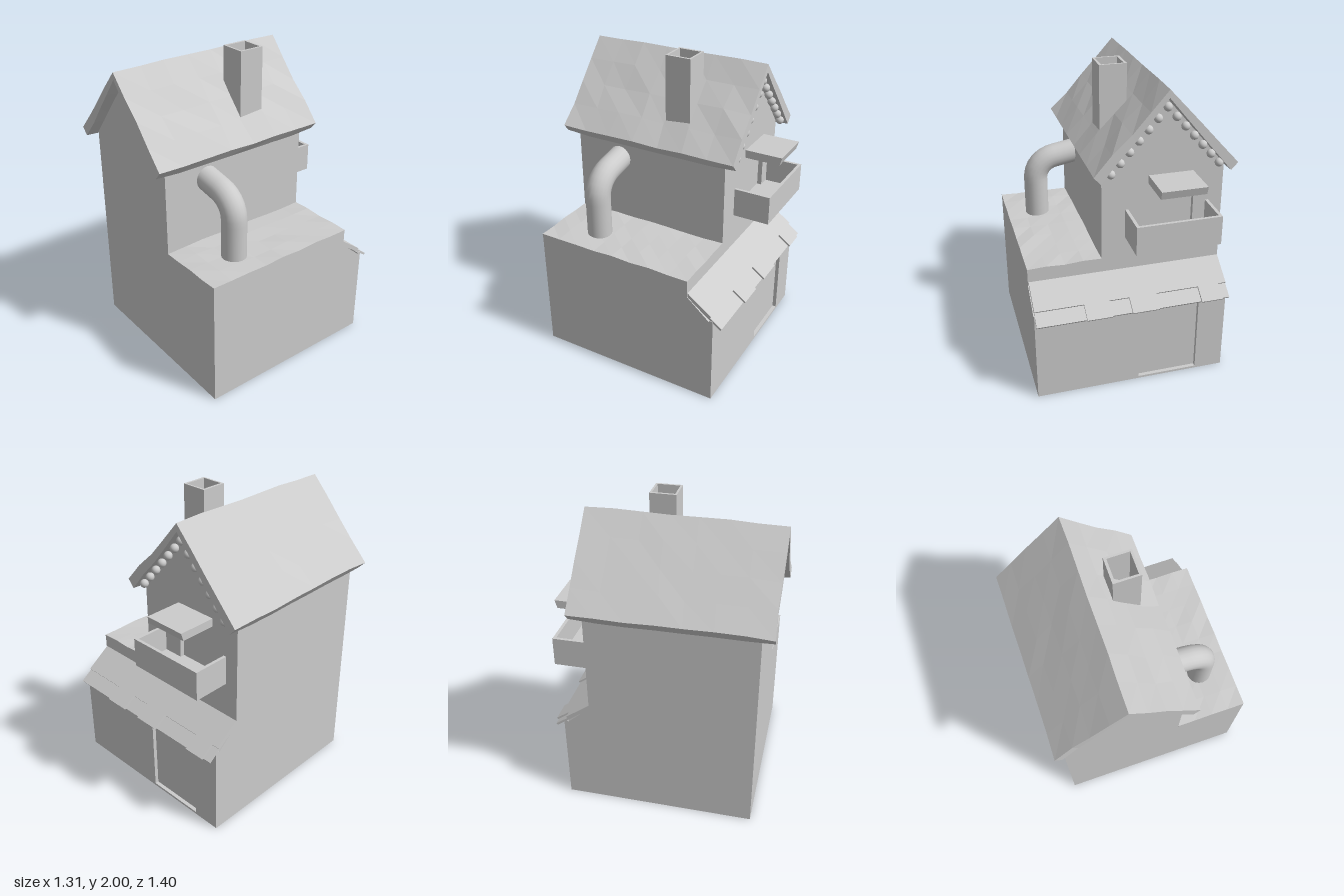
import * as THREE from 'three';

const grey = new THREE.MeshStandardMaterial({ color: 0xcccccc });
grey.name = 'plain grey';

export function createModel() {
  const model = new THREE.Group();
  model.name = 'house';

  const add = (name, geo, parent = model) => {
    const m = new THREE.Mesh(geo, grey);
    m.name = name;
    parent.add(m);
    return m;
  };
  // Box given by its minimum and maximum on each axis
  const box = (name, x0, x1, y0, y1, z0, z1, parent = model) => {
    const m = add(name, new THREE.BoxGeometry(x1 - x0, y1 - y0, z1 - z0), parent);
    m.position.set((x0 + x1) / 2, (y0 + y1) / 2, (z0 + z1) / 2);
    return m;
  };
  const shapeOf = (pts) => new THREE.Shape(pts.map(([x, y]) => new THREE.Vector2(x, y)));
  const rect = (x0, x1, y0, y1) => [[x0, y0], [x1, y0], [x1, y1], [x0, y1]];
  const extrude = (pts, depth, hole) => {
    const s = shapeOf(pts);
    if (hole) s.holes.push(shapeOf(hole));
    return new THREE.ExtrudeGeometry(s, { depth, bevelEnabled: false });
  };
  // Repeatable wobble for the hand-laid roofs
  const wobble = (a, b) => {
    const v = Math.sin(a * 12.9898 + b * 78.233 + 4.1) * 43758.5453;
    return (v - Math.floor(v)) * 2 - 1;
  };
  // Moves every vertex of a grid by a rule, then gives it flat faces
  const reshape = (geo, rule) => {
    const p = geo.attributes.position;
    const v = new THREE.Vector3();
    for (let i = 0; i < p.count; i++) {
      v.fromBufferAttribute(p, i);
      rule(v);
      p.setXYZ(i, v.x, v.y, v.z);
    }
    const flat = geo.toNonIndexed();
    flat.computeVertexNormals();
    return flat;
  };

  // Lower storey: side profile run across the full width
  const side = [[-0.62, 0], [0.6, 0], [0.6, 0.6], [0.45, 0.73], [0.45, 0.84], [-0.62, 0.84]];
  add('lowerStorey', extrude(side, 1.25).rotateY(Math.PI / 2).translate(-0.6, 0, 0));
  add('shopWall', extrude(rect(-0.6, 0.65, 0, 0.61), 0.025, rect(-0.415, -0.02, 0.015, 0.55))
    .translate(0, 0, -0.625));

  // Tower with gables, its back wall pierced by the balcony door
  const gable = (y0) => [[-0.6, y0], [0.18, y0], [0.18, 1.42], [-0.21, 1.875], [-0.6, 1.42]];
  add('tower', extrude(gable(0), 1.04).translate(0, 0, -0.42));
  add('towerBackWall', extrude(gable(0.74), 0.03, rect(-0.41, -0.12, 1.0, 1.33))
    .translate(0, 0, -0.45));

  // Main roof: one slab folded along the ridge
  const NX = 8, NZ = 7;
  add('mainRoof', reshape(new THREE.BoxGeometry(2, 2, 2, NX, 1, NZ), (v) => {
    const t = Math.abs(v.x), s = Math.sign(v.x);
    const i = Math.round((v.x + 1) * NX / 2), k = Math.round((v.z + 1) * NZ / 2);
    const end = k === 0 || k === NZ;
    const top = v.y > 0;
    const n = wobble(i, k), m = wobble(k, i + 20);
    const z = 0.083 + v.z * 0.612 + m * (end ? 0.005 : 0.015);
    const x = -0.205 + s * t * (top ? 0.45 : 0.407) + n * 0.004;
    const y = top ? 1.935 - t * 0.492 + n * 0.007
      : 1.885 - t * 0.49 - (end ? 0 : 0.025 * (1 - t * 0.6)) + n * 0.003;
    v.set(x, y, z);
  }));

  // Flat roof beside the tower
  add('sideRoof', reshape(new THREE.BoxGeometry(2, 2, 2, 4, 1, 8), (v) => {
    const n = wobble(Math.round(v.x * 2), Math.round(v.z * 4));
    v.set(0.415 + v.x * 0.236, v.y > 0 ? 0.848 + n * 0.005 : 0.835, 0.085 + v.z * 0.536);
  }));

  // Hollow chimney
  const chimney = extrude(rect(-0.057, 0.115, 0, 0.17), 0.43, rect(-0.04, 0.1, 0.013, 0.157));
  add('chimney', chimney.rotateX(-Math.PI / 2).translate(0, 1.57, 0));
  box('chimneyFloor', -0.045, 0.105, 1.58, 1.625, -0.16, -0.01);

  // Bent pipe from the tower down to the side roof
  const at = (x, y) => new THREE.Vector3(x, y, 0.31);
  const pipe = new THREE.CurvePath();
  pipe.add(new THREE.LineCurve3(at(0.1, 1.29), at(0.32, 1.25)));
  pipe.add(new THREE.CubicBezierCurve3(at(0.32, 1.25), at(0.39, 1.235), at(0.445, 1.18), at(0.445, 1.1)));
  pipe.add(new THREE.LineCurve3(at(0.445, 1.1), at(0.445, 0.83)));
  add('pipe', new THREE.TubeGeometry(pipe, 20, 0.08, 20));

  // Sloping awning: a base sheet, an upper sheet and hanging tabs
  const awning = new THREE.Group();
  awning.name = 'awning';
  awning.position.set(0, 0.755, -0.45);
  awning.rotation.x = -0.625;
  model.add(awning);
  box('awningBase', -0.6, 0.645, -0.026, -0.012, -0.295, 0.01, awning);
  box('awningUpper', -0.6, 0.645, -0.012, 0, -0.198, 0, awning);
  for (const [x0, x1] of [[-0.55, -0.41], [-0.13, 0.045], [0.175, 0.335]])
    box('awningTab', x0, x1, -0.012, 0, -0.304, -0.198, awning);

  // Balcony tray
  const balcony = new THREE.Group();
  balcony.name = 'balcony';
  model.add(balcony);
  box('balconyFloor', -0.51, 0.03, 0.98, 1.0, -0.69, -0.44, balcony);
  box('balconyFront', -0.51, 0.03, 1.0, 1.17, -0.69, -0.67, balcony);
  for (const x of [-0.51, 0.01])
    box('balconySide', x, x + 0.02, 1.0, 1.17, -0.67, -0.44, balcony);

  // Canopy over the balcony door, with a slanted outer edge
  add('canopy', reshape(new THREE.BoxGeometry(2, 2, 2), (v) => {
    const top = v.y > 0, out = v.z < 0;
    v.set(-0.258 + v.x * 0.143, top ? 1.383 : 1.33, out ? (top ? -0.698 : -0.682) : -0.44);
  }));

  // Row of bulbs under the back gable
  const bulb = new THREE.SphereGeometry(0.027, 16, 12);
  for (let i = -6; i <= 6; i++) {
    const t = Math.abs(i) / 6;
    add('bulb', bulb).position.set(-0.205 + i / 6 * 0.34, 1.825 - t * 0.385, -0.5);
  }

  return model;
}
